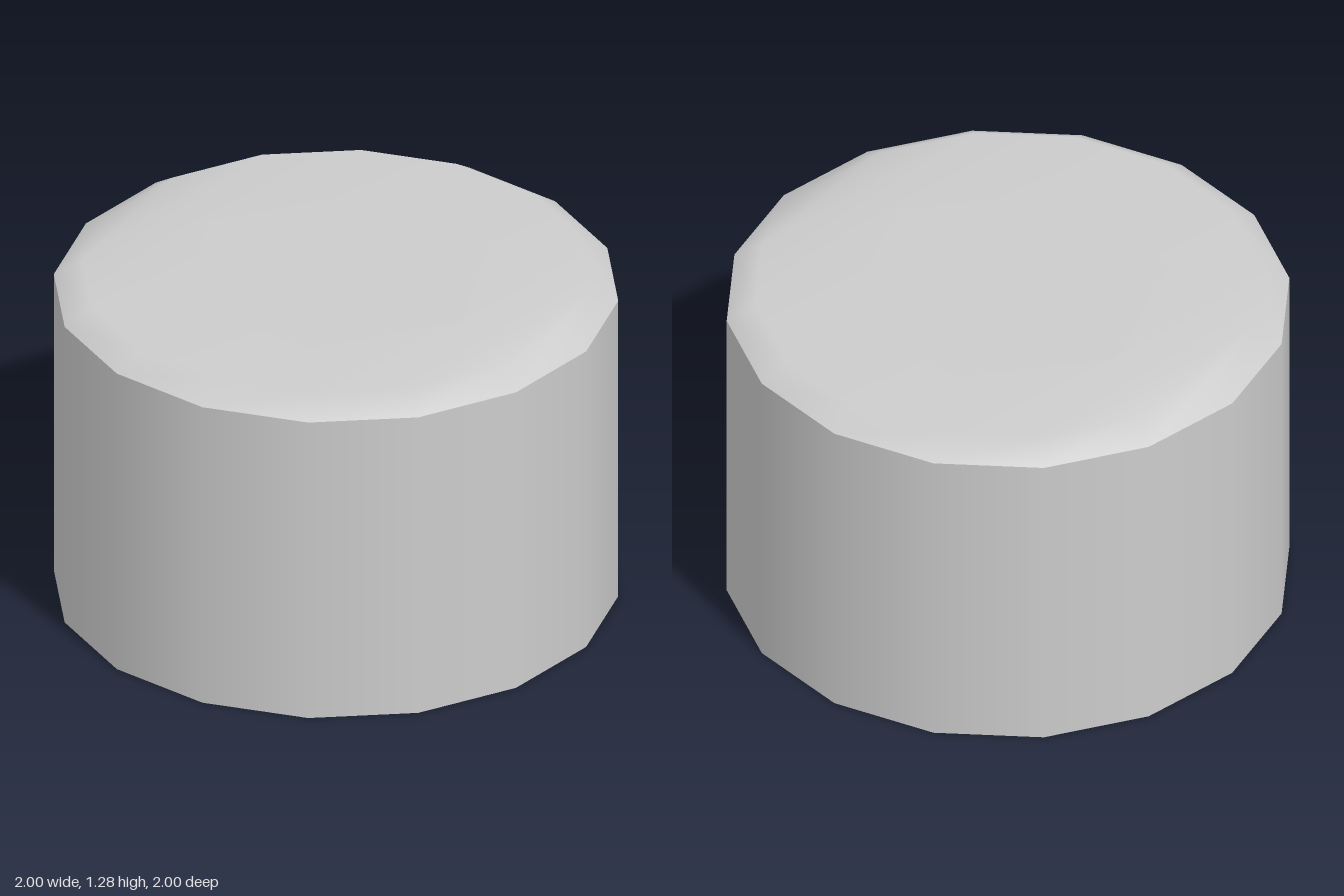
import * as THREE from 'three';

const SIDES = 16;
const STEP = (Math.PI * 2) / SIDES;
const RIM = 1 / Math.cos(STEP / 2);   // corner radius for flats at 1
const TOP = 0.9 * RIM;
const WALL_H = 1.21, TOTAL_H = 1.275;

// Bevel and flat top sharing one ring of vertices, so they shade as one soft surface
function capGeometry() {
  const positions = [], index = [];
  for (const [r, y] of [[RIM, WALL_H], [TOP, TOTAL_H]]) {
    for (let i = 0; i < SIDES; i++) {
      const a = (i + 0.5) * STEP;
      positions.push(r * Math.sin(a), y, r * Math.cos(a));
    }
  }
  for (let i = 0; i < SIDES; i++) {
    const j = (i + 1) % SIDES;
    index.push(i, j, SIDES + j, i, SIDES + j, SIDES + i);
  }
  // zigzag strips across the flat top
  for (let lo = 0, hi = SIDES - 1; lo + 1 < hi; lo++, hi--) {
    index.push(SIDES + lo, SIDES + lo + 1, SIDES + hi);
    if (lo + 1 < hi - 1) index.push(SIDES + lo + 1, SIDES + hi - 1, SIDES + hi);
  }
  const g = new THREE.BufferGeometry();
  g.setAttribute('position', new THREE.Float32BufferAttribute(positions, 3));
  g.setIndex(index);
  g.computeVertexNormals();
  return g;
}

export function createModel() {
  const group = new THREE.Group();
  group.name = 'cap';
  const grey = new THREE.MeshStandardMaterial({ color: 0xcccccc, side: THREE.DoubleSide });
  grey.name = 'light grey';

  const add = (name, geometry, y = 0) => {
    const mesh = new THREE.Mesh(geometry, grey);
    mesh.name = name;
    mesh.position.y = y;
    group.add(mesh);
  };

  // Open-bottomed side wall
  add('sideWall', new THREE.CylinderGeometry(RIM, RIM, WALL_H, SIDES, 1, true, STEP / 2), WALL_H / 2);
  add('bevelledTop', capGeometry());

  // Hexagonal face, almost flush with the top
  const hex = new THREE.CircleGeometry(0.59, 6, Math.PI / 2).rotateX(-Math.PI / 2);
  add('hexagonFace', hex, TOTAL_H + 0.002);
  return group;
}
